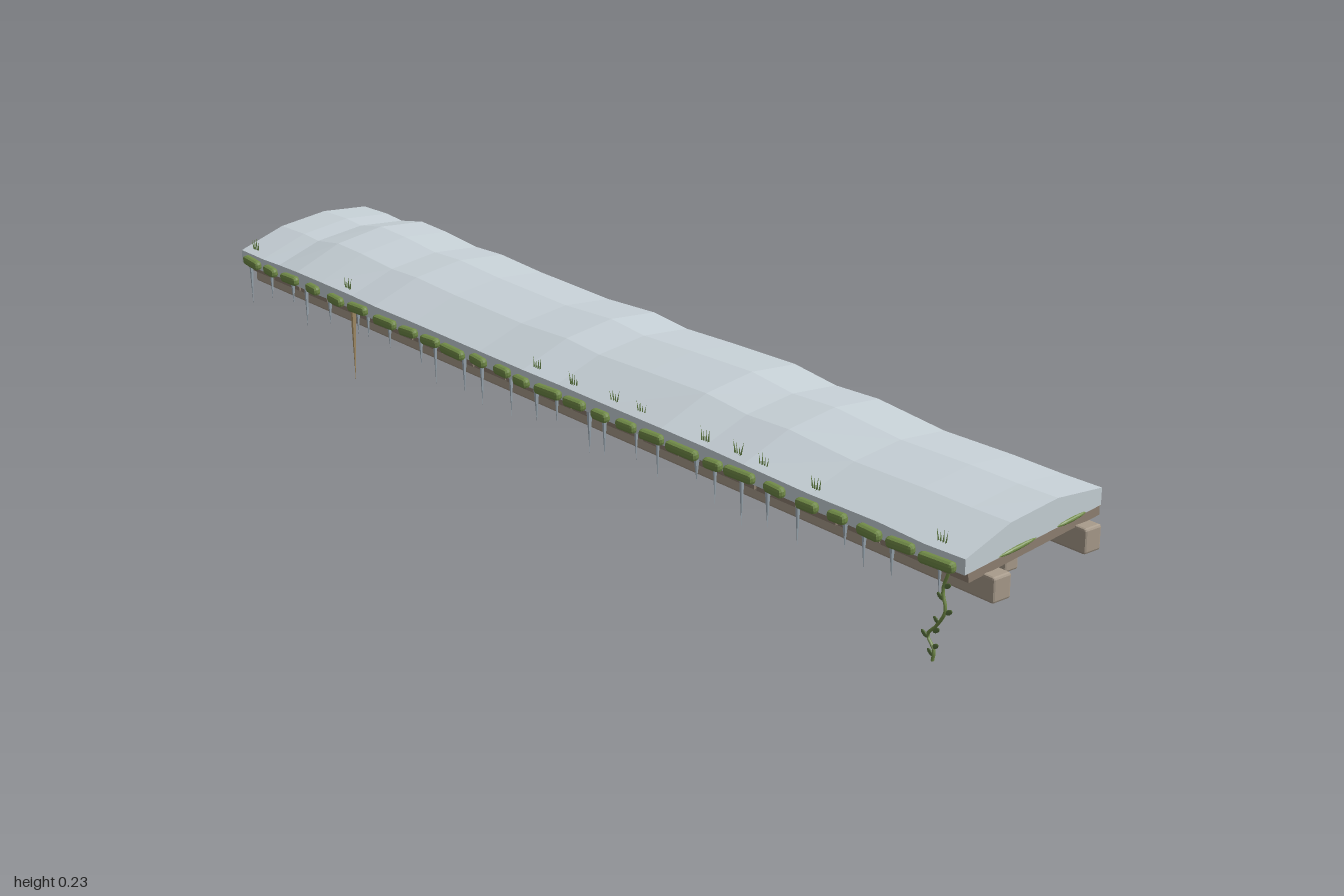
import * as THREE from 'three';
import { RoundedBoxGeometry } from 'three/addons/geometries/RoundedBoxGeometry.js';

const mat = (name, color, side = THREE.FrontSide) => {
  const m = new THREE.MeshStandardMaterial({ color, side });
  m.name = name;
  return m;
};

// small seeded generator
function seeded(s) {
  return () => {
    s = (s * 16807) % 2147483647;
    return s / 2147483647;
  };
}

const flat = (g) => {
  const f = g.index ? g.toNonIndexed() : g;
  f.computeVertexNormals();
  return f;
};

// height of the sloping deck's top surface
const deckY = (z) => 0.17 - 0.125 * z;
const SLOPE = Math.atan(0.125);

// ridge height of the snow along x
const RIDGE = [[-0.98, 0.222], [-0.9, 0.225], [-0.85, 0.222], [-0.78, 0.236], [-0.7, 0.234], [-0.6, 0.227],
  [-0.52, 0.231], [-0.4, 0.226], [-0.2, 0.224], [-0.07, 0.232], [0.02, 0.225], [0.15, 0.231], [0.3, 0.236],
  [0.4, 0.226], [0.5, 0.231], [0.65, 0.22], [0.8, 0.224], [0.9, 0.224], [0.98, 0.226]];

// snow blanket lofted from cross-sections
function snowGeometry() {
  const rows = RIDGE.map(([x, ridge], i) => {
    const d = ridge - 0.231;
    const w = Math.sin(i * 2.3) * 0.003;
    return [
      [0.136 + w, 0.154], [0.136 + w, 0.181 + d * 0.3], [0.042, 0.217 + d * 0.8],
      [-0.058, ridge], [-0.155, 0.223 + d], [-0.155, 0.19],
    ].map(([z, y]) => [x, y, z]);
  });
  const pos = [];
  const tri = (a, b, c) => pos.push(...a, ...b, ...c);
  const n = 6;
  for (let r = 0; r < rows.length - 1; r++) {
    for (let i = 0; i < n; i++) {
      const j = (i + 1) % n;
      const [a, b, c, d] = [rows[r][i], rows[r + 1][i], rows[r + 1][j], rows[r][j]];
      tri(a, b, c);
      tri(a, c, d);
    }
  }
  const last = rows[rows.length - 1];
  for (let i = 1; i < n - 1; i++) {
    tri(rows[0][0], rows[0][i], rows[0][i + 1]);
    tri(last[0], last[i + 1], last[i]);
  }
  const g = new THREE.BufferGeometry();
  g.setAttribute('position', new THREE.Float32BufferAttribute(pos, 3));
  g.computeVertexNormals();
  return g;
}

export function createModel() {
  const model = new THREE.Group();
  model.name = 'snowyAwning';
  const rnd = seeded(4711);
  const beamWood = mat('beam wood', 0xa89b8b);
  const plankWood = mat('plank wood', 0x8f8172);
  const straw = mat('straw', 0xb0986f);
  const snow = mat('snow', 0xc9d3d9);
  const ice = mat('ice', 0xa6b4be);
  const moss = mat('moss', 0x728c48);
  const leaf = mat('leaf', 0x5b7440, THREE.DoubleSide);

  const add = (name, geo, material, x = 0, y = 0, z = 0, parent = model) => {
    const m = new THREE.Mesh(geo, material);
    m.name = name;
    m.position.set(x, y, z);
    parent.add(m);
    return m;
  };
  const timber = (w, h, d) => flat(new RoundedBoxGeometry(w, h, d, 1, 0.004));

  // long beams carrying the deck
  add('frontBeam', timber(2, 0.042, 0.038), beamWood, 0, 0.124, 0.075);
  add('backBeam', timber(2, 0.042, 0.036), beamWood, 0, 0.149, -0.119);

  // deck planks, with a straw edge showing at the back
  const deck = new THREE.Group();
  deck.name = 'deck';
  model.add(deck);
  const count = 21;
  const pitch = 1.96 / count;
  for (let i = 0; i < count; i++) {
    const x = -0.98 + pitch * (i + 0.5);
    const p = add('plank', new THREE.BoxGeometry(pitch - 0.004, 0.015, 0.278 + rnd() * 0.004), plankWood,
      x, deckY(-0.015) - 0.009 + (rnd() - 0.5) * 0.002, -0.015, deck);
    p.rotation.set(SLOPE, 0, (rnd() - 0.5) * 0.03);
    const s = add('strawEdge', new THREE.BoxGeometry(pitch * 0.95, 0.005, 0.012), straw, x, 0.19, -0.151, deck);
    s.rotation.set(SLOPE, 0, (rnd() - 0.5) * 0.05);
  }

  // slanting braces with wall blocks: [foot x, beam x]
  const braces = [[-0.8, -0.91], [-0.44, -0.33], [-0.05, -0.16], [0.05, 0.16], [0.44, 0.33], [0.8, 0.91]];
  braces.forEach(([footX, beamX]) => {
    const a = new THREE.Vector3(footX, 0.055, -0.132);
    const b = new THREE.Vector3(beamX, 0.116, 0.072);
    const brace = add('brace', timber(0.028, 0.027, a.distanceTo(b)), beamWood);
    brace.position.lerpVectors(a, b, 0.5);
    brace.lookAt(b);
    add('braceFoot', timber(0.05, 0.038, 0.031), beamWood, footX, 0.052, -0.136);
  });

  // snow blanket
  add('snow', snowGeometry(), snow);

  // icicles under the front edge
  const coneDown = (r, h) => {
    const g = new THREE.ConeGeometry(r, h, 5);
    g.rotateX(Math.PI);
    g.translate(0, -h / 2, 0);
    return flat(g);
  };
  for (let i = 0; i < 28; i++) {
    const x = -0.95 + (i + (rnd() - 0.5) * 0.6) * 0.069;
    const h = 0.045 + rnd() * (i % 3 ? 0.035 : 0.055);
    add('icicle', coneDown(0.004 + rnd() * 0.002, h), ice, x, 0.157, 0.129);
  }
  add('hangingRoot', coneDown(0.006, 0.145), straw, -0.6, 0.157, 0.131);

  // moss cushions along the front edge
  const cushion = flat(new THREE.IcosahedronGeometry(1, 1));
  let mx = -0.96;
  while (mx < 0.95) {
    const w = 0.035 + rnd() * 0.035;
    const m = add('mossCushion', flat(new RoundedBoxGeometry(w, 0.018, 0.016, 1, 0.006)), moss,
      mx + w / 2, 0.163 + (rnd() - 0.5) * 0.005, 0.143);
    m.rotation.set(0.12, (rnd() - 0.5) * 0.2, (rnd() - 0.5) * 0.05);
    mx += w + 0.012 + rnd() * 0.024;
  }

  // moss at the deck ends
  for (const side of [-1, 1]) {
    for (const [z, l] of [[0.025, 0.04], [-0.09, 0.032]]) {
      const m = add('endMoss', cushion, moss, side * 0.98, deckY(z) + 0.002, z);
      m.scale.set(0.004, 0.004, l);
      m.rotation.x = SLOPE;
    }
  }

  // grass tufts poking through the snow
  const blade = new THREE.ConeGeometry(0.0022, 0.028, 3);
  [-0.95, -0.63, -0.05, 0.05, 0.16, 0.23, 0.39, 0.47, 0.53, 0.65, 0.92].forEach((x) => {
    for (let k = 0; k < 4; k++) {
      const b = add('grassBlade', blade, leaf, x + (k - 1.5) * 0.006, 0.188 + rnd() * 0.007, 0.122);
      b.rotation.set((rnd() - 0.5) * 0.2, 0, (1.5 - k) * 0.15);
    }
  });

  // hanging vine with leaves
  const vinePts = [[0.955, 0.152], [0.945, 0.12], [0.952, 0.09], [0.935, 0.06], [0.918, 0.04], [0.932, 0.02], [0.93, 0.002]]
    .map(([x, y]) => new THREE.Vector3(x, y, 0.142));
  const curve = new THREE.CatmullRomCurve3(vinePts);
  add('vine', new THREE.TubeGeometry(curve, 18, 0.0028, 5), moss);
  for (let i = 1; i < 9; i++) {
    const p = curve.getPoint(i / 9);
    const l = add('vineLeaf', cushion, leaf, p.x + (i % 2 ? 0.007 : -0.007), p.y, p.z);
    l.scale.set(0.008, 0.004, 0.002);
    l.rotation.z = i % 2 ? 0.6 : -0.6;
  }
  return model;
}
